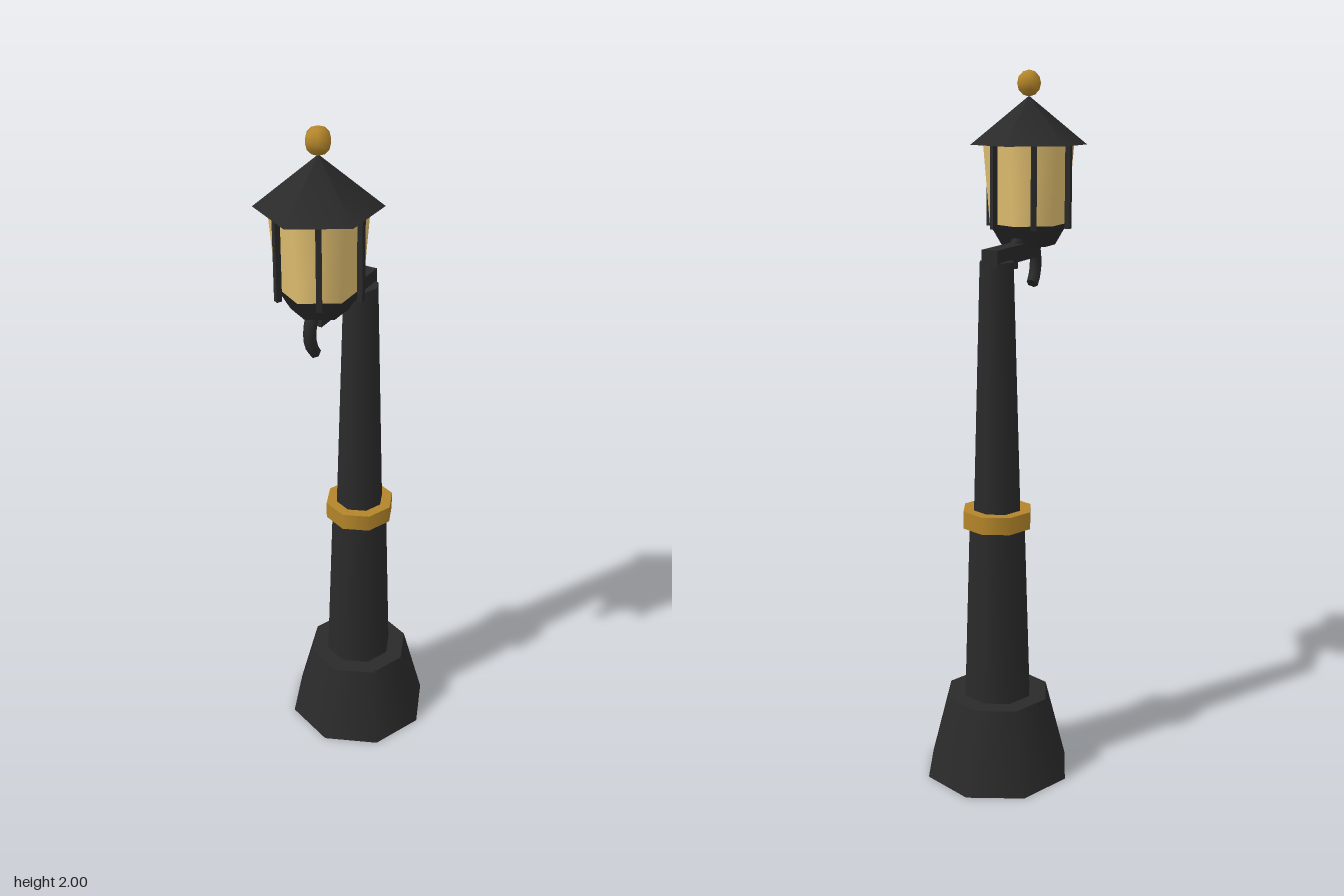
import * as THREE from 'three';

const iron = new THREE.MeshStandardMaterial({ color: 0x2a2a2a });
iron.name = 'blackIron';
const brass = new THREE.MeshStandardMaterial({ color: 0xb5862a });
brass.name = 'brass';
const glass = new THREE.MeshStandardMaterial({ color: 0xffd980 });
glass.name = 'warmGlass';

const POST_Z = -0.084;
const LAMP_Z = 0.132;

function add(parent, name, geometry, material, x = 0, y = 0, z = 0) {
  const mesh = new THREE.Mesh(geometry, material);
  mesh.name = name;
  mesh.position.set(x, y, z);
  parent.add(mesh);
  return mesh;
}

// Tapered prism standing between two heights
function taper(parent, name, material, sides, rBottom, rTop, y0, y1) {
  const geometry = new THREE.CylinderGeometry(rTop, rBottom, y1 - y0, sides);
  return add(parent, name, geometry, material, 0, (y0 + y1) / 2, 0);
}

export function createModel() {
  const model = new THREE.Group();
  model.name = 'streetLamp';

  // Eight-sided post
  const post = new THREE.Group();
  post.name = 'post';
  post.position.z = POST_Z;
  model.add(post);
  taper(post, 'base', iron, 8, 0.215, 0.152, 0, 0.24);
  taper(post, 'lowerShaft', iron, 8, 0.1, 0.083, 0.24, 0.76);
  taper(post, 'collar', brass, 8, 0.101, 0.101, 0.75, 0.8);
  taper(post, 'upperShaft', iron, 8, 0.07, 0.049, 0.79, 1.497);

  // Arm carrying the lantern
  add(model, 'arm', new THREE.BoxGeometry(0.048, 0.046, 0.295), iron, 0, 1.509, 0.0175);

  // Curled scroll under the lantern, with closed ends
  const scroll = new THREE.Group();
  scroll.name = 'scroll';
  scroll.position.set(0, 1.466, 0.1);
  scroll.rotation.y = -Math.PI / 2;
  model.add(scroll);
  const R = 0.085, tube = 0.017, start = -Math.PI / 4, arc = Math.PI * 1.25;
  add(scroll, 'scrollCurve', new THREE.TorusGeometry(R, tube, 6, 14, arc).rotateZ(start), iron);
  for (const [angle, tilt] of [[start, Math.PI / 2], [start + arc, -Math.PI / 2]]) {
    const cap = new THREE.CircleGeometry(tube, 6);
    cap.rotateX(tilt).translate(R, 0, 0).rotateZ(angle);
    add(scroll, 'scrollEnd', cap, iron);
  }

  // Six-sided lantern
  const lantern = new THREE.Group();
  lantern.name = 'lantern';
  lantern.position.z = LAMP_Z;
  model.add(lantern);
  taper(lantern, 'lanternCup', iron, 6, 0.076, 0.111, 1.52, 1.58);
  taper(lantern, 'lanternGlass', glass, 6, 0.11, 0.128, 1.58, 1.8);
  add(lantern, 'roof', new THREE.ConeGeometry(0.164, 0.132, 6), iron, 0, 1.864, 0);
  add(lantern, 'finial', new THREE.SphereGeometry(0.036, 6, 6), brass, 0, 1.964, 0);

  // Upright bars in front of the panes
  for (let i = 0; i < 6; i++) {
    const a = (i * Math.PI) / 3;
    const bar = add(lantern, 'bar', new THREE.BoxGeometry(0.015, 0.23, 0.015), iron,
      0.12 * Math.cos(a), 1.685, 0.12 * Math.sin(a));
    bar.rotation.y = -a;
  }

  return model;
}
